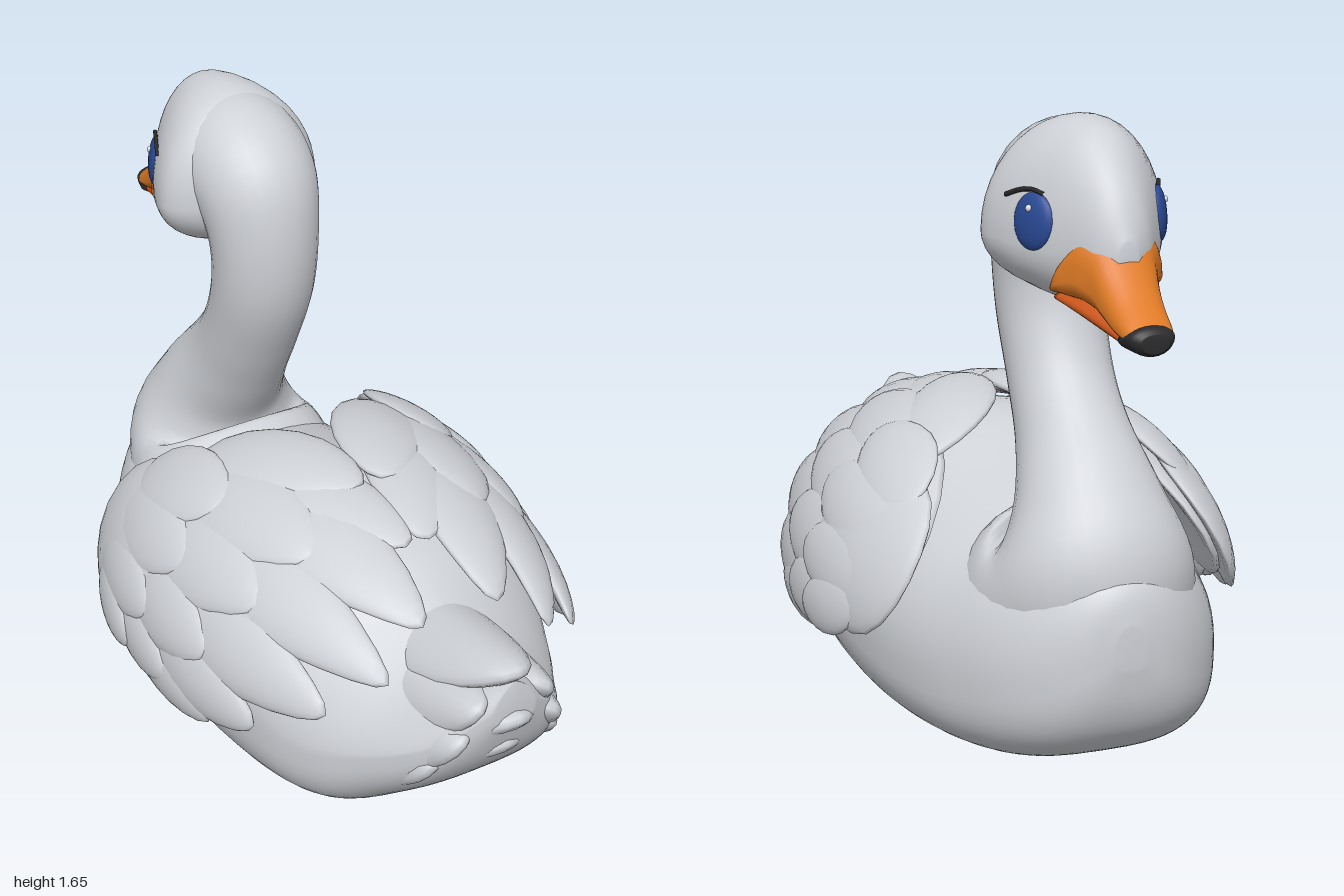
import * as THREE from 'three';
import { mergeVertices } from 'three/addons/utils/BufferGeometryUtils.js';

const mat = (name, color) => Object.assign(new THREE.MeshStandardMaterial({ color }), { name });

// Smoothly resample rows of numbers
function resample(rows, steps) {
  const out = [], n = rows.length - 1;
  for (let i = 0; i <= n * steps; i++) {
    const k = Math.min(Math.floor(i / steps), n - 1), t = i / steps - k;
    const [a, b, c, d] = [k - 1, k, k + 1, k + 2].map(q => rows[Math.min(Math.max(q, 0), n)]);
    out.push(b.map((p, j) => p + 0.5 * t * (c[j] - a[j]
      + t * (2 * a[j] - 5 * p + 4 * c[j] - d[j] + t * (3 * (p - c[j]) + d[j] - a[j])))));
  }
  return out;
}

// Skin a list of rings (each wound about the travel direction) and cap the ends
function skin(rings) {
  const pos = [], index = [], n = rings[0].length, last = rings.length - 1;
  rings.forEach(r => r.forEach(p => pos.push(p.x, p.y, p.z)));
  for (let i = 0; i < last; i++) for (let j = 0; j < n; j++) {
    const a = i * n + j, b = i * n + (j + 1) % n;
    index.push(a, b, a + n, b, b + n, a + n);
  }
  [0, last].forEach(i => {
    const c = new THREE.Vector3();
    rings[i].forEach(p => c.addScaledVector(p, 1 / n));
    const id = pos.length / 3;
    pos.push(c.x, c.y, c.z);
    for (let j = 0; j < n; j++) {
      const a = i * n + j, b = i * n + (j + 1) % n;
      if (i === 0) index.push(id, b, a); else index.push(id, a, b);
    }
  });
  const g = new THREE.BufferGeometry();
  g.setAttribute('position', new THREE.Float32BufferAttribute(pos, 3));
  g.setIndex(index);
  g.computeVertexNormals();
  return g;
}

// Loft along z from rows [z, bottom, top, halfWidth, roofPower]; waist = height of widest point
function loftZ(rows, waist, lowPower = 2, seg = 40) {
  return skin(resample(rows, 5).map(([z, b, t, w, roof = 2]) => {
    const cy = b + (t - b) * waist, ring = [];
    for (let j = 0; j < seg; j++) {
      const a = j / seg * Math.PI * 2, c = Math.cos(a), s = Math.sin(a);
      const e = 2 / (s < 0 ? lowPower : roof);
      const y = cy + (s < 0 ? b - cy : t - cy) * Math.abs(s) ** e;
      ring.push(new THREE.Vector3(w * Math.sign(c) * Math.abs(c) ** e, Math.max(0, y), z));
    }
    return ring;
  }));
}

// Loft in the middle plane from rows [z, y, depthRadius, widthRadius]
function loftNeck(rows, seg = 32) {
  const path = resample(rows, 6), X = new THREE.Vector3(1, 0, 0);
  return skin(path.map(([z, y, r, w], i) => {
    const p = path[Math.max(i - 1, 0)], q = path[Math.min(i + 1, path.length - 1)];
    const N = new THREE.Vector3(0, q[1] - p[1], q[0] - p[0]).normalize().cross(X);
    return Array.from({ length: seg }, (_, j) => {
      const a = j / seg * Math.PI * 2;
      return new THREE.Vector3(0, y, z).addScaledVector(X, w * Math.cos(a)).addScaledVector(N, r * Math.sin(a));
    });
  }));
}

function ball() {
  const g = new THREE.SphereGeometry(1, 20, 14);
  g.deleteAttribute('uv');
  g.deleteAttribute('normal');
  return mergeVertices(g);
}

// Flattened teardrop wrapped over the flank, from root (z, degrees) to tip
function wingFeather(side, [z0, f0, z1, f1, width], lift, thick) {
  const g = ball(), p = g.attributes.position, rad = Math.PI / 180;
  for (let i = 0; i < p.count; i++) {
    const u = p.getZ(i), t = (u + 1) / 2;
    const across = -side * p.getX(i) * (1 - 0.22 * u);
    const z = z0 + (z1 - z0) * t, f = (f0 + (f1 - f0) * t) * rad + across * width / 0.52;
    const k = Math.sqrt(Math.max(0.05, 1 - ((z - 0.05) / 0.95) ** 2));
    const h = lift + 0.012 * t + p.getY(i) * thick;
    p.setXYZ(i, side * Math.cos(f) * (0.55 * k + h), 0.24 + Math.sin(f) * (0.525 * k + h), z);
  }
  g.computeVertexNormals();
  return g;
}

// Flattened, upward-curling feather from root to tip, rolled to one side
function tailFeather(root, tip, width, roll) {
  const a = new THREE.Vector3(...root), b = new THREE.Vector3(...tip);
  const d = b.clone().sub(a), half = d.length() / 2;
  d.normalize();
  const x = new THREE.Vector3(Math.sin(roll), Math.cos(roll), 0).cross(d).normalize();
  const y = d.clone().cross(x), g = ball(), p = g.attributes.position;
  for (let i = 0; i < p.count; i++) {
    const u = p.getZ(i), v = p.getX(i) * (1 - 0.25 * u);
    p.setXYZ(i, v * width, p.getY(i) * 0.06 + 0.03 * (u * u - 1) - 0.05 * v * v, u * half);
  }
  g.applyMatrix4(new THREE.Matrix4().makeBasis(x, y, d).setPosition(a.add(b).multiplyScalar(0.5)));
  g.computeVertexNormals();
  return g;
}

export function createModel() {
  const plumage = mat('plumage', 0xcfd2d7), orange = mat('beakOrange', 0xe07b26);
  const darkOrange = mat('mouthOrange', 0xc8541a), black = mat('black', 0x2b2b2d);
  const blue = mat('eyeBlue', 0x2a4a96), white = mat('eyeGlint', 0xe8eef5);
  const model = new THREE.Group(), bird = new THREE.Group();
  bird.name = 'swan';
  bird.rotation.y = -0.115;
  model.add(bird);
  const add = (name, geo, m, parent = bird) => {
    const mesh = new THREE.Mesh(geo, m);
    mesh.name = name;
    parent.add(mesh);
    return mesh;
  };

  // Body with a flat oval base and a ridged rump
  add('body', loftZ([
    [-0.885, 0.31, 0.42, 0.04, 2], [-0.865, 0.2, 0.5, 0.12, 2], [-0.82, 0.11, 0.55, 0.2, 2],
    [-0.74, 0.04, 0.58, 0.28, 2], [-0.62, -0.01, 0.59, 0.352, 2.1], [-0.45, -0.035, 0.58, 0.42, 2.1],
    [-0.2, -0.05, 0.65, 0.475, 2], [0.1, -0.05, 0.74, 0.495, 2], [0.4, -0.035, 0.69, 0.46, 1.9],
    [0.58, 0, 0.6, 0.395, 1.7], [0.72, 0.1, 0.55, 0.31, 1.5], [0.84, 0.21, 0.55, 0.23, 1.4],
    [0.92, 0.32, 0.57, 0.15, 1.4], [0.97, 0.45, 0.58, 0.06, 1.4]], 0.4, 3, 56), plumage);

  // Neck sweeping up from the chest and fading into the head
  add('neck', loftNeck([
    [-0.4, 0.3, 0.28, 0.3], [-0.53, 0.4, 0.28, 0.31], [-0.625, 0.52, 0.232, 0.268], [-0.59, 0.66, 0.178, 0.2],
    [-0.485, 0.81, 0.15, 0.152], [-0.395, 0.95, 0.135, 0.14], [-0.325, 1.12, 0.14, 0.145], [-0.315, 1.28, 0.148, 0.155],
    [-0.365, 1.41, 0.174, 0.175], [-0.47, 1.455, 0.183, 0.178], [-0.57, 1.44, 0.16, 0.14]]), plumage);

  // Head with full cheeks
  add('head', loftZ([
    [-0.835, 1.31, 1.38, 0.025], [-0.8, 1.27, 1.47, 0.07], [-0.76, 1.24, 1.535, 0.1], [-0.7, 1.205, 1.6, 0.138],
    [-0.64, 1.19, 1.637, 0.172], [-0.54, 1.195, 1.652, 0.22], [-0.45, 1.21, 1.635, 0.238],
    [-0.385, 1.25, 1.58, 0.195], [-0.34, 1.31, 1.48, 0.1]], 0.34), plumage);

  // Beak
  add('upperBeak', loftZ([
    [-0.972, 1.165, 1.208, 0.055, 2.2], [-0.95, 1.16, 1.224, 0.066, 2.2], [-0.9, 1.165, 1.264, 0.073, 2.2],
    [-0.85, 1.18, 1.315, 0.08, 2.3], [-0.8, 1.195, 1.38, 0.092, 2.6], [-0.755, 1.21, 1.4, 0.118, 3],
    [-0.71, 1.22, 1.345, 0.144, 2.8], [-0.675, 1.225, 1.29, 0.142, 2.4]], 0.35, 2, 28), orange);
  add('lowerBeak', loftZ([
    [-0.93, 1.143, 1.18, 0.055], [-0.85, 1.155, 1.21, 0.074], [-0.76, 1.178, 1.24, 0.105],
    [-0.67, 1.2, 1.25, 0.128]], 0.5, 2, 28), darkOrange);
  add('beakTip', loftZ([
    [-1, 1.145, 1.192, 0.036], [-0.985, 1.136, 1.206, 0.055], [-0.965, 1.135, 1.208, 0.063],
    [-0.935, 1.14, 1.195, 0.07]], 0.6, 2, 24), black);

  // Eyes with lashes
  for (const side of [-1, 1]) {
    const eye = new THREE.Group();
    eye.name = side > 0 ? 'leftEye' : 'rightEye';
    bird.add(eye);
    const iris = add('iris', new THREE.SphereGeometry(1, 24, 16), blue, eye);
    iris.scale.set(0.022, 0.072, 0.064);
    iris.position.set(side * 0.166, 1.408, -0.63);
    iris.rotation.set(0, side * 0.45, side * 0.1);
    const glint = add('glint', new THREE.SphereGeometry(0.009, 10, 8), white, eye);
    glint.position.set(side * 0.181, 1.442, -0.634);
    const lash = [[0.206, 1.462, -0.54], [0.185, 1.48, -0.585], [0.167, 1.486, -0.625], [0.151, 1.478, -0.66]];
    add('lash', new THREE.TubeGeometry(new THREE.CatmullRomCurve3(
      lash.map(([x, y, z]) => new THREE.Vector3(side * x, y, z))), 16, 0.006, 6), black, eye);
  }

  // Wings: rows of [rootZ, rootAngle, tipZ, tipAngle, halfWidth], outermost row last
  const rows = [
    { lift: 0, thick: 0.04, list: [[-0.42, 30, 0.55, 43, 0.28]] },
    { lift: 0.01, thick: 0.032, list: [[-0.1, 60, 0.5, 86, 0.14], [0, 60, 0.71, 74, 0.14], [0, 45, 0.76, 50, 0.13],
      [0, 28, 0.68, 27, 0.13], [-0.1, 14, 0.5, 9, 0.12], [-0.15, 7, 0.34, 1, 0.095]] },
    { lift: 0.026, thick: 0.032, list: [[-0.2, 62, 0.28, 84, 0.14], [-0.2, 52, 0.4, 62, 0.14], [-0.2, 38, 0.38, 42, 0.13],
      [-0.2, 24, 0.3, 21, 0.12], [-0.22, 12, 0.16, 5, 0.1]] },
    { lift: 0.03, thick: 0.034, list: [[-0.46, 27, 0.03, 29, 0.22]] },
    { lift: 0.044, thick: 0.026, list: [[-0.33, 46, 0.07, 54, 0.12], [-0.35, 34, 0.1, 37, 0.11],
      [-0.35, 21, 0.04, 19, 0.1], [-0.32, 12, -0.03, 5, 0.085]] },
  ];
  for (const side of [-1, 1]) {
    const wing = new THREE.Group();
    wing.name = side > 0 ? 'leftWing' : 'rightWing';
    bird.add(wing);
    rows.forEach(({ lift, thick, list }, i) => list.forEach(f =>
      add(i ? 'wingFeather' : 'wingBase', wingFeather(side, f, lift, thick), plumage, wing)));
  }

  // Tail: chevron layers of [centre root, centre tip, side root, side tip]
  const tail = new THREE.Group();
  tail.name = 'tail';
  bird.add(tail);
  [
    [[0, 0.53, 0.42], [0, 0.61, 0.985], [0.17, 0.42, 0.42], [0.1, 0.52, 0.97]],
    [[0, 0.38, 0.5], [0, 0.47, 1], [0.19, 0.32, 0.45], [0.14, 0.42, 0.955]],
    [[0, 0.28, 0.5], [0, 0.36, 0.95], [0.2, 0.27, 0.42], [0.18, 0.32, 0.89]],
  ].forEach(([root, tip, [rx, ry, rz], [tx, ty, tz]]) => {
    add('tailFeather', tailFeather(root, tip, 0.15, 0), plumage, tail);
    for (const s of [-1, 1]) {
      add('tailFeather', tailFeather([s * rx, ry, rz], [s * tx, ty, tz], 0.13, s * 0.65), plumage, tail);
    }
  });
  return model;
}
